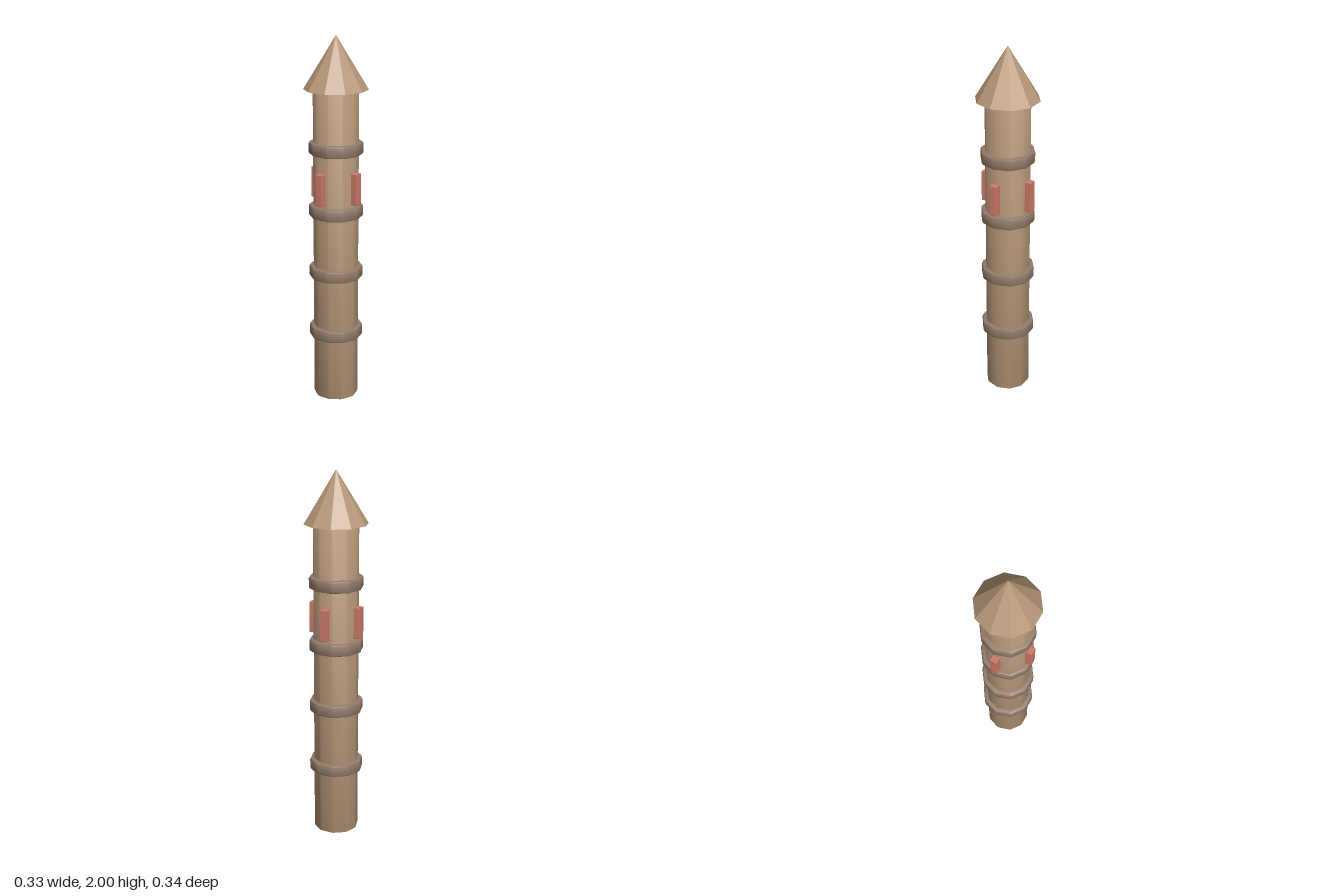
import * as THREE from 'three';
import { toCreasedNormals } from 'three/addons/utils/BufferGeometryUtils.js';
import { RoundedBoxGeometry } from 'three/addons/geometries/RoundedBoxGeometry.js';

const SIDES = 10;
const stone = new THREE.MeshStandardMaterial({ color: 0xb8997a });
const roofStone = new THREE.MeshStandardMaterial({ color: 0xb8997a, flatShading: true });
const bandStone = new THREE.MeshStandardMaterial({ color: 0x917a69 });
const windowRed = new THREE.MeshStandardMaterial({ color: 0xcc7a68 });

// Upright ten-sided prism with softened corners and rims, a corner facing +z
function softPrism(radius, y0, y1, bevel) {
  const r = radius - bevel;
  const corner = (i) => {
    const a = (i / SIDES) * Math.PI * 2 + Math.PI / 2;
    return new THREE.Vector2(Math.cos(a) * r, Math.sin(a) * r);
  };
  const points = [];
  for (let i = 0; i < SIDES; i++) {
    const c = corner(i);
    points.push(c.clone().lerp(corner(i - 1), 0.06), c.clone().lerp(corner(i + 1), 0.06));
  }
  const geometry = new THREE.ExtrudeGeometry(new THREE.Shape(points), {
    depth: y1 - y0 - 2 * bevel,
    bevelEnabled: true,
    bevelSize: bevel,
    bevelThickness: bevel,
    bevelSegments: 2,
  });
  geometry.rotateX(-Math.PI / 2);
  geometry.translate(0, y0 + bevel, 0);
  return toCreasedNormals(geometry, Math.PI / 6);
}

export function createModel() {
  const model = new THREE.Group();
  const add = (name, geometry, material) => {
    const mesh = new THREE.Mesh(geometry, material);
    mesh.name = name;
    model.add(mesh);
    return mesh;
  };

  // Tower shaft
  add('shaft', softPrism(0.122, 0, 1.72, 0.01), stone);

  // Pointed roof with closed underside
  const roof = add('roof', new THREE.ConeGeometry(0.171, 0.28, SIDES), roofStone);
  roof.position.y = 1.86;

  // Raised bands around the shaft
  [0.383, 0.727, 1.07, 1.412].forEach((y, i) => {
    add(`band${i + 1}`, softPrism(0.146, y - 0.033, y + 0.033, 0.011), bandStone);
  });

  // Four narrow windows, one per side
  ['Front', 'Left', 'Back', 'Right'].forEach((side, i) => {
    const geometry = new RoundedBoxGeometry(0.043, 0.17, 0.06, 1, 0.004);
    geometry.translate(0, 1.206, 0.122);
    add(`window${side}`, geometry, windowRed).rotation.y = (i * Math.PI) / 2;
  });

  return model;
}
